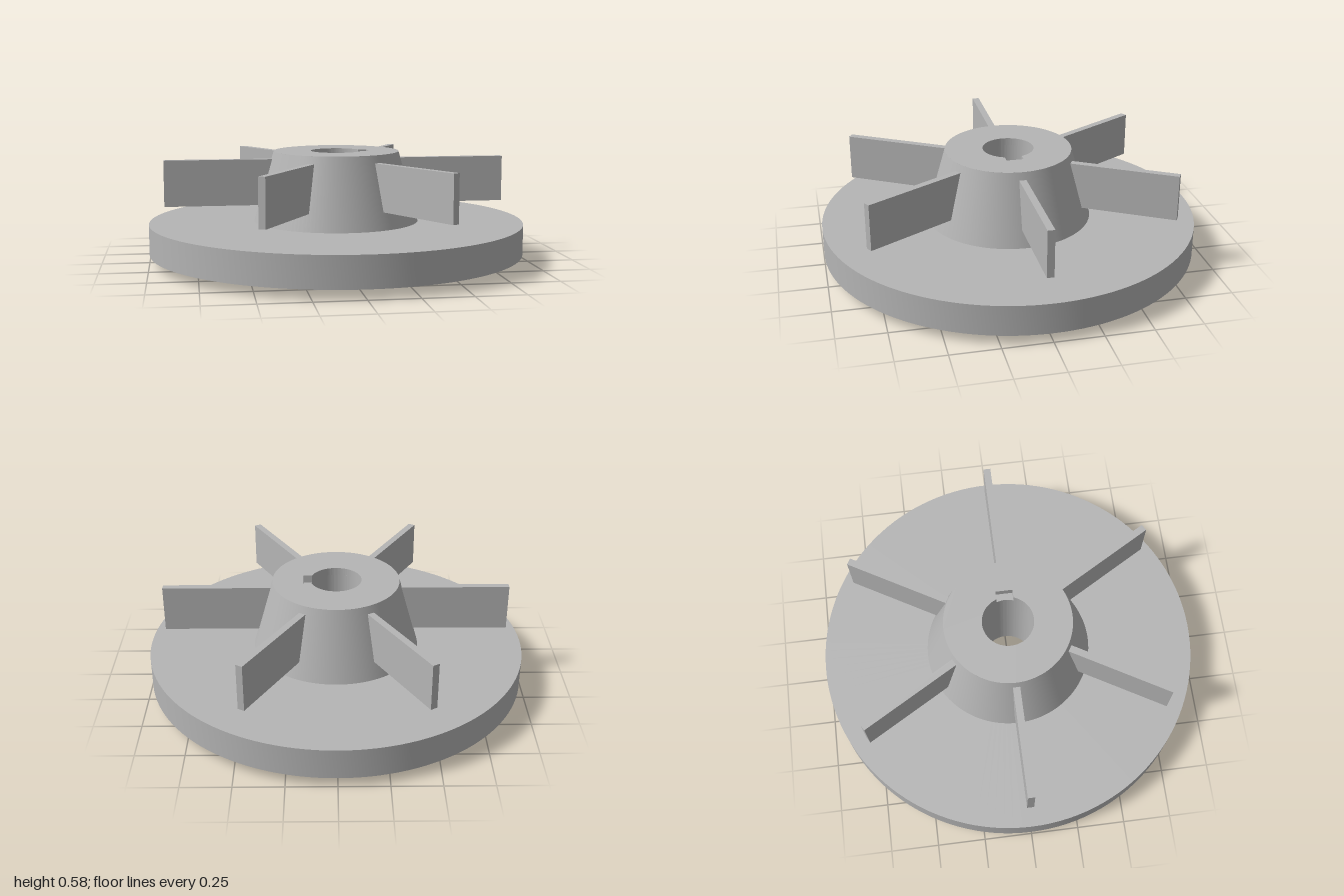
import * as THREE from 'three';
import { toCreasedNormals } from 'three/addons/utils/BufferGeometryUtils.js';

const BORE = 0.135, TOP = 0.585, TOP_R = 0.335, KEY_DEPTH = 0.04;
const KEY_X = 0.171, KEY_Z = 0.045;

function createLathe(name, points, material) {
  const profile = points.map(([r, y]) => new THREE.Vector2(r, y));
  const mesh = new THREE.Mesh(toCreasedNormals(new THREE.LatheGeometry(profile, 128), 0.5), material);
  mesh.name = name;
  return mesh;
}

export function createModel() {
  const group = new THREE.Group();
  group.name = 'impeller';
  const metal = new THREE.MeshStandardMaterial({ color: 0xb5b5b5 });
  metal.name = 'grey metal';

  // Round back plate
  group.add(createLathe('backPlate', [[0.4, 0.05], [1, 0.05], [1, 0.21], [0.4, 0.21]], metal));

  // Tapered hub with a through bore; its recessed top is filled by the collar
  const floor = TOP - KEY_DEPTH;
  group.add(createLathe('hub', [[0.3, floor], [BORE, floor], [BORE, 0], [0.5, 0], [TOP_R, TOP]], metal));

  // Collar closing the hub, with the bore and shallow keyway cut through it
  const outline = new THREE.Shape().absarc(0, 0, TOP_R, 0, Math.PI * 2, false);
  const a = Math.asin(KEY_Z / BORE);
  const hole = new THREE.Path();
  hole.absarc(0, 0, BORE, a, Math.PI * 2 - a, false);
  hole.lineTo(KEY_X, -KEY_Z);
  hole.lineTo(KEY_X, KEY_Z);
  hole.closePath();
  outline.holes.push(hole);
  const collarGeometry = new THREE.ExtrudeGeometry(outline, {
    depth: KEY_DEPTH, bevelEnabled: false, curveSegments: 128,
  });
  collarGeometry.rotateX(-Math.PI / 2).translate(0, floor, 0);
  const collar = new THREE.Mesh(toCreasedNormals(collarGeometry, 0.5), metal);
  collar.name = 'collar';
  group.add(collar);

  // Six straight radial blades, rooted in the hub
  const bladeGeometry = new THREE.BoxGeometry(0.617, 0.245, 0.037).translate(0.3 + 0.617 / 2, 0.4225, 0);
  for (let i = 0; i < 6; i++) {
    const blade = new THREE.Mesh(bladeGeometry, metal);
    blade.name = `blade${i + 1}`;
    blade.rotation.y = (i * Math.PI) / 3;
    group.add(blade);
  }
  return group;
}
